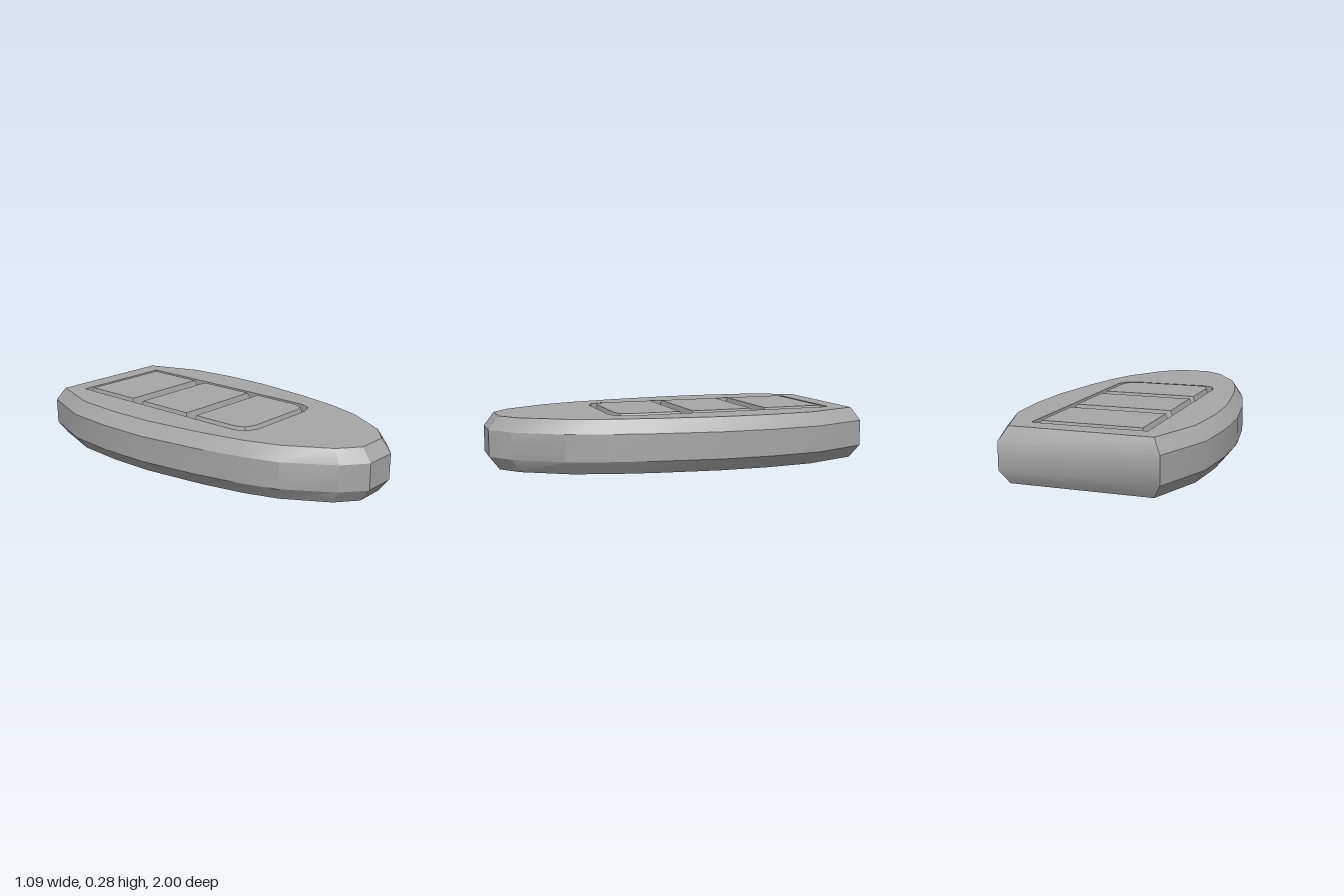
import * as THREE from 'three';
import { toCreasedNormals } from 'three/addons/utils/BufferGeometryUtils.js';

// Closed outline from its +x half, listed back to front as [x, z]
const mirror = (half) => [...half, ...half.map(([x, z]) => [-x, z]).reverse()];

// Walls joining stacked outlines; each ring is { y, pts }
function loft(rings) {
  const pos = [];
  for (let r = 0; r < rings.length - 1; r++) {
    const lo = rings[r], hi = rings[r + 1], n = lo.pts.length;
    for (let i = 0; i < n; i++) {
      const j = (i + 1) % n;
      const at = (ring, k) => [ring.pts[k][0], ring.y, ring.pts[k][1]];
      pos.push(...at(lo, i), ...at(hi, i), ...at(lo, j));
      pos.push(...at(lo, j), ...at(hi, i), ...at(hi, j));
    }
  }
  const g = new THREE.BufferGeometry();
  g.setAttribute('position', new THREE.Float32BufferAttribute(pos, 3));
  return toCreasedNormals(g, Math.PI / 6);
}

// Horizontal face at height y, optionally with a hole or facing down
function cap(pts, y, { hole, down } = {}) {
  const s = down ? 1 : -1;
  const to2D = (p) => p.map(([x, z]) => new THREE.Vector2(x, s * z));
  const shape = new THREE.Shape(to2D(pts));
  if (hole) shape.holes.push(new THREE.Path(to2D(hole)));
  return new THREE.ShapeGeometry(shape).rotateX(s * Math.PI / 2).translate(0, y, 0);
}

export function createModel() {
  const model = new THREE.Group();
  model.name = 'remoteControl';
  const grey = new THREE.MeshStandardMaterial({ color: 0xa6a6a6 });
  grey.name = 'grey';
  const add = (parent, name, geometry) => {
    const mesh = new THREE.Mesh(geometry, grey);
    mesh.name = name;
    parent.add(mesh);
  };

  const outer = mirror([[0.4, -1], [0.52, -0.68], [0.545, -0.4], [0.54, -0.12], [0.49, 0.22],
    [0.43, 0.48], [0.37, 0.66], [0.215, 0.9], [0.093, 1]]);
  const inner = mirror([[0.36, -0.96], [0.467, -0.66], [0.49, -0.39], [0.485, -0.13], [0.44, 0.21],
    [0.39, 0.45], [0.33, 0.63], [0.193, 0.86], [0.085, 0.947]]);
  const recess = mirror([[0.295, -0.855], [0.295, 0.3], [0.27, 0.367], [0.205, 0.395]]);
  const top = 0.28, floor = 0.235, buttonTop = 0.285;

  // Shell with bevelled upper and lower edges
  add(model, 'shellSides', loft([{ y: 0, pts: inner }, { y: 0.07, pts: outer },
    { y: 0.21, pts: outer }, { y: top, pts: inner }]));
  add(model, 'shellTop', cap(inner, top, { hole: recess }));
  add(model, 'shellBottom', cap(inner, 0, { down: true }));

  // Recessed button tray
  add(model, 'recessWalls', loft([{ y: top, pts: recess }, { y: floor, pts: recess }]));
  add(model, 'recessFloor', cap(recess, floor));

  // Three buttons with sloping sides; the front one has clipped corners
  const buttons = {
    backButton: [
      [[0.275, -0.835], [0.275, -0.468]],
      [[0.258, -0.822], [0.258, -0.48]]],
    middleButton: [
      [[0.275, -0.412], [0.275, -0.045]],
      [[0.258, -0.398], [0.258, -0.058]]],
    frontButton: [
      [[0.275, 0], [0.275, 0.29], [0.25, 0.347], [0.19, 0.371]],
      [[0.258, 0.014], [0.258, 0.282], [0.237, 0.335], [0.18, 0.357]]],
  };
  for (const [name, [base, face]] of Object.entries(buttons)) {
    const button = new THREE.Group();
    button.name = name;
    const facePts = mirror(face);
    add(button, name + 'Sides', loft([{ y: floor, pts: mirror(base) }, { y: buttonTop, pts: facePts }]));
    add(button, name + 'Face', cap(facePts, buttonTop));
    model.add(button);
  }
  return model;
}
